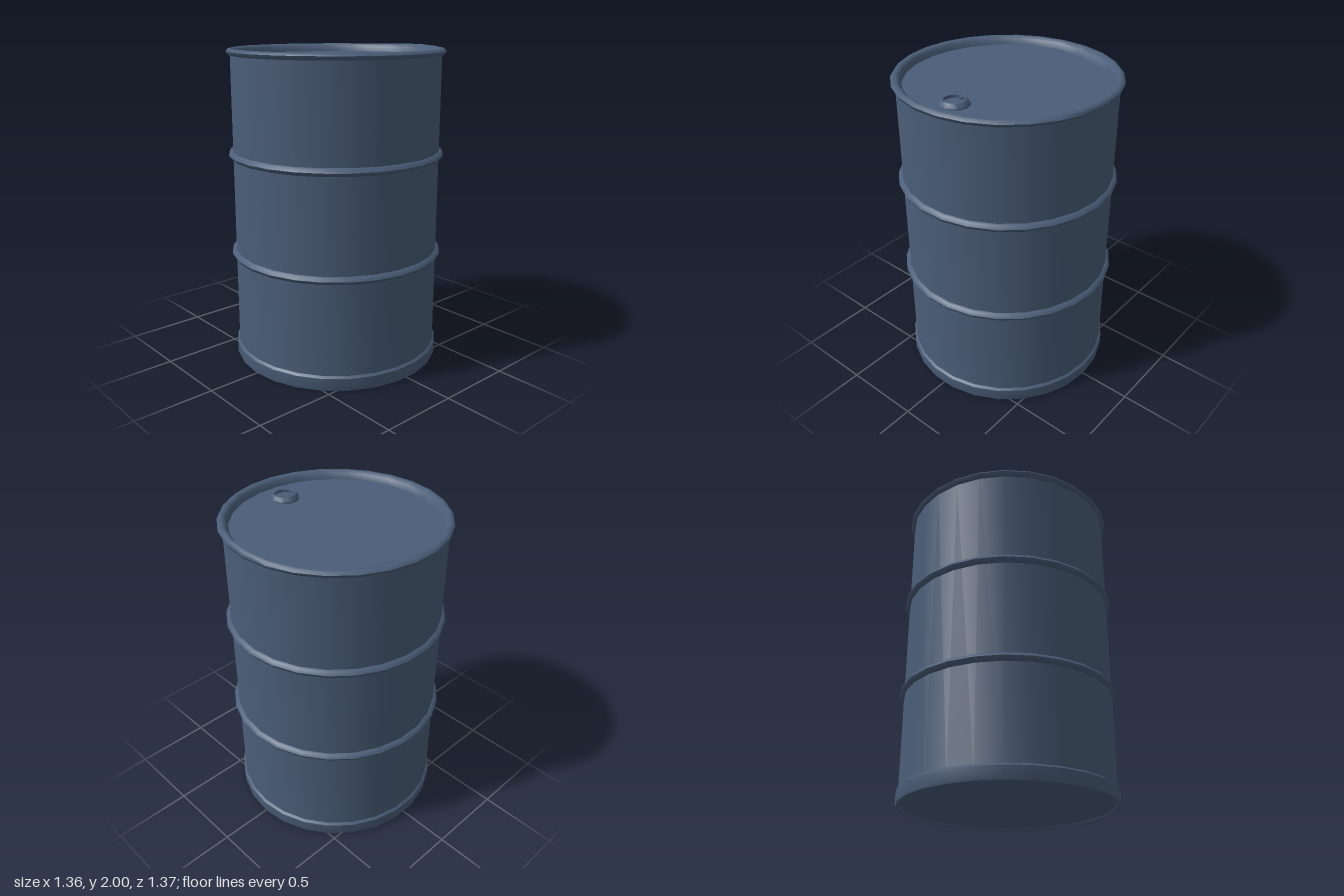
import * as THREE from 'three';
import { toCreasedNormals } from 'three/addons/utils/BufferGeometryUtils.js';

const SIDES = 26;

export function createModel() {
  const drum = new THREE.Group();
  drum.name = 'drum';
  const steel = new THREE.MeshStandardMaterial({ color: 0x4a5d78 });
  steel.name = 'blue steel';

  // Turns a profile of [radius, height] pairs, optionally reshaped by a rule
  function turn(name, profile, sides = SIDES, rule = null, crease = 0.75) {
    const points = profile.map(([r, y]) => new THREE.Vector2(r, y));
    const geometry = new THREE.LatheGeometry(points, sides);
    if (rule) {
      const pos = geometry.attributes.position;
      const v = new THREE.Vector3();
      for (let i = 0; i < pos.count; i++) {
        rule(v.fromBufferAttribute(pos, i));
        pos.setXYZ(i, v.x, v.y, v.z);
      }
    }
    const mesh = new THREE.Mesh(toCreasedNormals(geometry, crease), steel);
    mesh.name = name;
    drum.add(mesh);
    return mesh;
  }

  // Barrel wall
  turn('wall', [[0.657, 0.07], [0.657, 1.97]]);

  // Foot band, with its lower lip and the recessed bottom
  turn('footBand', [[0.667, 0], [0.671, 0.012], [0.671, 0.08], [0.657, 0.093]]);
  turn('bottom', [[0, 0.02], [0.645, 0.02], [0.655, 0.004], [0.667, 0]]);

  // Two rolling hoops
  for (const [name, y] of [['lowerHoop', 0.7], ['upperHoop', 1.34]]) {
    turn(name, [[0.655, y - 0.026], [0.672, y - 0.02], [0.684, y],
      [0.672, y + 0.02], [0.655, y + 0.026]]);
  }

  // Rolled top rim, slightly bent up at the back and dented inside
  turn('topRim', [[0.655, 1.95], [0.673, 1.957], [0.682, 1.975], [0.672, 1.988],
    [0.65, 1.992], [0.628, 1.975], [0.618, 1.935]], SIDES, (v) => {
    const r = Math.hypot(v.x, v.z);
    if (v.z < -0.5 && v.y > 1.98) v.y += 0.008 * Math.max(0, 1 - Math.abs(v.x - 0.08) / 0.4);
    const near = Math.max(0, 1 - Math.hypot(v.x + 0.57, v.z + 0.22) / 0.2);
    if (r < 0.64) {
      const k = 1 - 0.03 * near / r;
      v.x *= k;
      v.z *= k;
    }
  }, 1);

  // Lid
  turn('lid', [[0.64, 1.94], [0, 1.94]]);

  // Filler cap: a nine-sided collar with a sunken centre
  const cap = turn('fillerCap', [[0.092, 1.935], [0.09, 1.95], [0.07, 1.972],
    [0.064, 1.97], [0.064, 1.952], [0, 1.952]], 9, null, 0.75);
  cap.rotation.y = Math.PI;
  cap.position.x = 0.45;

  // Small catch inside the collar
  const tab = new THREE.Mesh(new THREE.CylinderGeometry(0.019, 0.019, 0.014, 3), steel);
  tab.name = 'capCatch';
  tab.rotation.y = Math.PI / 2;
  tab.position.set(0.396, 1.959, 0);
  drum.add(tab);

  return drum;
}
